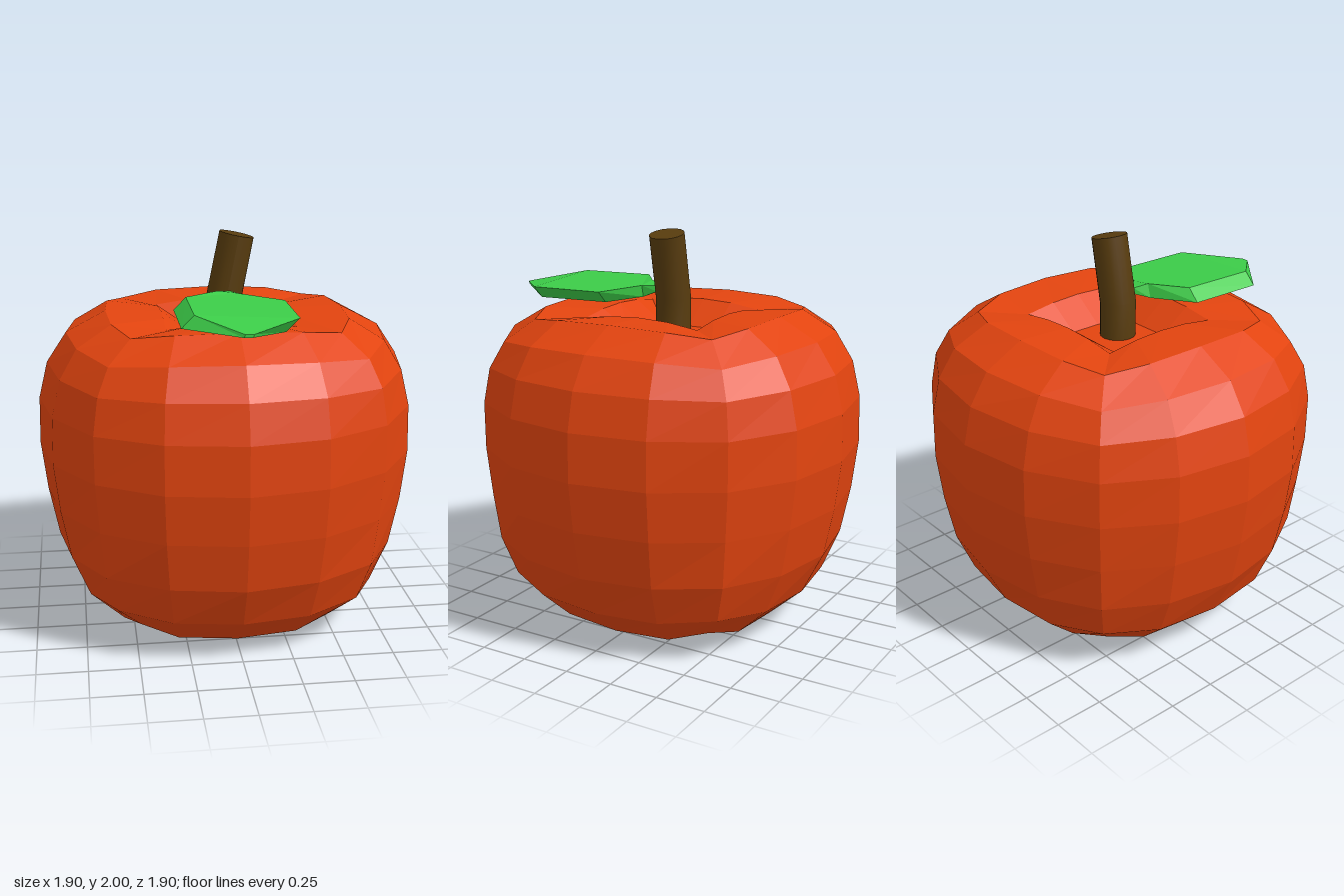
import * as THREE from 'three';

// Joins a list of equal-length rings of [x, y, z] into a skin, faceted
function loft(rings, capped) {
  const n = rings[0].length;
  const index = [];
  for (let r = 0; r < rings.length - 1; r++) {
    for (let k = 0; k < n; k++) {
      const a = r * n + k, b = r * n + (k + 1) % n;
      index.push(a, b, b + n, a, b + n, a + n);
    }
  }
  if (capped) {
    const last = (rings.length - 1) * n;
    for (let k = 1; k < n - 1; k++) {
      index.push(0, k + 1, k, last, last + k, last + k + 1);
    }
  }
  const geo = new THREE.BufferGeometry();
  geo.setAttribute('position', new THREE.Float32BufferAttribute(rings.flat(2), 3));
  geo.setIndex(index);
  const flat = geo.toNonIndexed();
  flat.computeVertexNormals();
  return flat;
}

// 16-point ring with four equal sides, between a square and a circle:
// r = reach on the axes, y / yc = height on the axes / at the corners,
// a, b = place of the in-between points, c = place of the corners (times r)
function ring([r, y, yc, a, b, c]) {
  const side = [[-c, c, yc], [-a, b, y + (yc - y) * 0.25], [0, 1, y], [a, b, y + (yc - y) * 0.25]];
  const pts = [];
  for (let q = 0; q < 4; q++) {
    for (const [u, v, h] of side) {
      const [x, z] = [[u, v], [v, -u], [-u, -v], [-v, u]][q];
      pts.push([x * r, h, z * r]);
    }
  }
  return pts;
}

function makeMesh(name, geometry, color, flatShading) {
  const mesh = new THREE.Mesh(geometry, new THREE.MeshStandardMaterial({ color, flatShading }));
  mesh.name = name;
  return mesh;
}

export function createModel() {
  const model = new THREE.Group();
  model.name = 'fruit';

  // Body: from the middle of the base, up the side, into the square hollow
  const bodyRings = [
    [0, 0.005, 0.005, 0, 1, 1],
    [0.3, 0.025, 0.05, 0.5, 1, 1],
    [0.57, 0.04, 0.105, 0.52, 0.97, 0.84],
    [0.76, 0.21, 0.24, 0.44, 0.95, 0.78],
    [0.87, 0.43, 0.44, 0.41, 0.93, 0.745],
    [0.92, 0.68, 0.68, 0.405, 0.93, 0.73],
    [0.95, 0.93, 0.93, 0.4, 0.93, 0.726],
    [0.945, 1.17, 1.165, 0.4, 0.93, 0.73],
    [0.9, 1.355, 1.34, 0.41, 0.93, 0.74],
    [0.8, 1.505, 1.47, 0.43, 0.94, 0.765],
    [0.6, 1.61, 1.575, 0.5, 0.97, 0.835],
    [0.32, 1.6, 1.57, 0.5, 1, 1],
    [0.16, 1.48, 1.48, 1, 1, 1],
    [0, 1.48, 1.48, 0, 1, 1],
  ].map(ring);
  model.add(makeMesh('body', loft(bodyRings), 0xe2440f, true));

  // Stem: upright at the foot, then leaning to +x with a slanted end
  const stemGeo = new THREE.CylinderGeometry(0.09, 0.09, 2, 16, 2);
  const p = stemGeo.attributes.position;
  for (let i = 0; i < p.count; i++) {
    const level = Math.round(p.getY(i)) + 1;
    const x = p.getX(i);
    const slant = [0, 0.1, 0.2][level];
    p.setXYZ(i, x * (level === 2 ? 0.96 : 1) + [0, 0, 0.065][level],
      [1.46, 1.66, 1.982][level] - x * slant, p.getZ(i));
  }
  stemGeo.computeVertexNormals();
  model.add(makeMesh('stem', stemGeo, 0x583c0e, false));

  // Leaf: slanted slab; each section is bottom left, bottom right, top right, top left
  const leafSections = [
    [0.085, [-0.02, 1.68], [0.02, 1.68], [0.02, 1.71], [-0.02, 1.71]],
    [0.155, [-0.07, 1.655], [0.04, 1.65], [0.055, 1.71], [-0.05, 1.725]],
    [0.28, [-0.28, 1.66], [0.2, 1.635], [0.265, 1.695], [-0.22, 1.722]],
    [0.68, [-0.28, 1.655], [0.2, 1.627], [0.265, 1.69], [-0.22, 1.715]],
    [0.9, [-0.025, 1.655], [0.015, 1.655], [0.02, 1.67], [-0.02, 1.67]],
  ].map(([z, ...pts]) => pts.map(([x, y]) => [x, y, z]));
  model.add(makeMesh('leaf', loft(leafSections, true), 0x3ccc48, true));

  return model;
}
